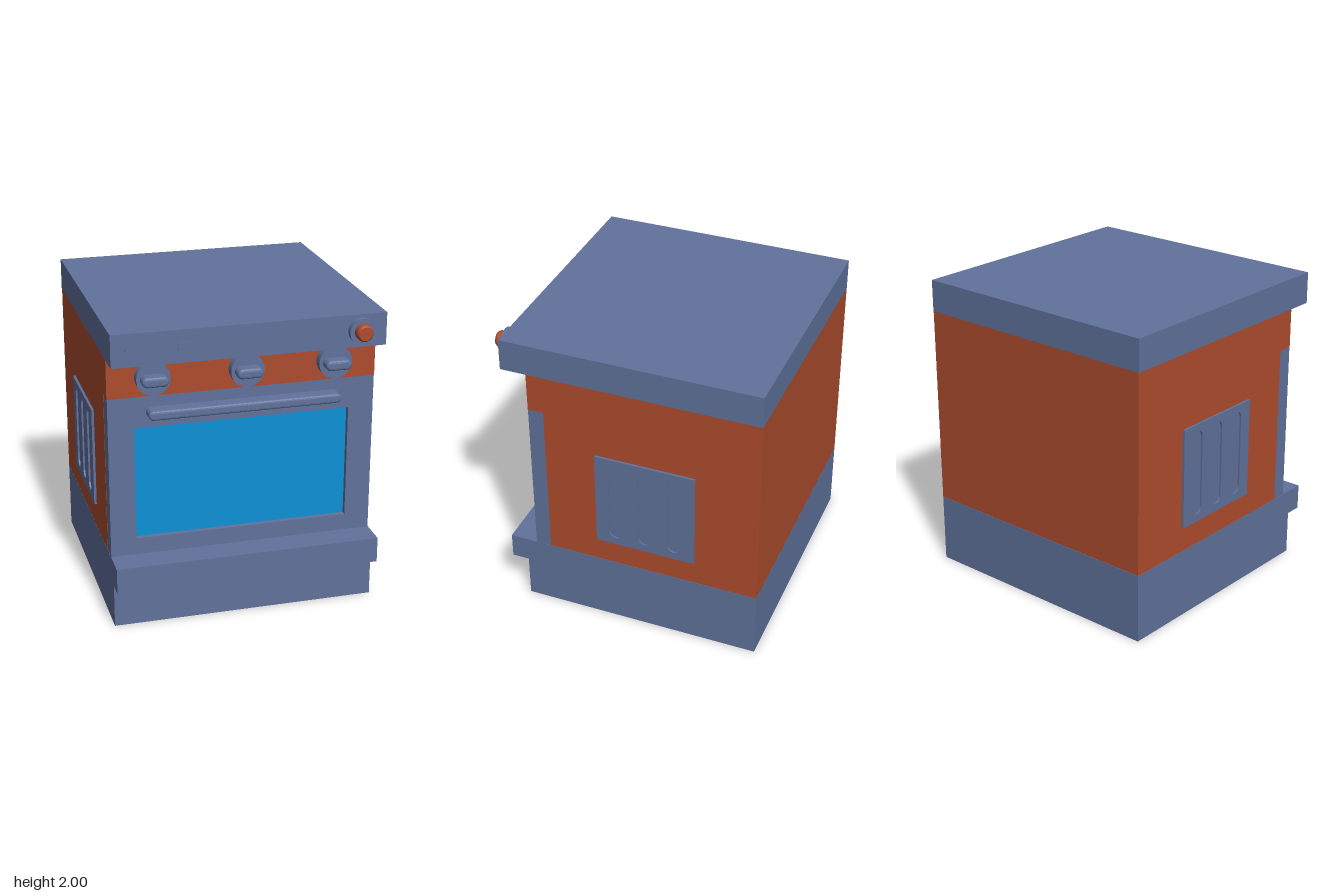
import * as THREE from 'three';

const steel = new THREE.MeshStandardMaterial({ color: 0x60729b });
steel.name = 'blueGreySteel';
const steelSheet = steel; // open sheet parts share the same colour
steelSheet.side = THREE.DoubleSide;
const rust = new THREE.MeshStandardMaterial({ color: 0xad4c2d });
rust.name = 'rustOrange';
const glass = new THREE.MeshStandardMaterial({ color: 0x0d90d6 });
glass.name = 'blueGlass';

const W = 0.868, BACK = -0.9;

function add(parent, name, geometry, material, x = 0, y = 0, z = 0) {
  const mesh = new THREE.Mesh(geometry, material);
  mesh.name = name;
  mesh.position.set(x, y, z);
  parent.add(mesh);
  return mesh;
}

// Box given by its minimum and maximum corners
function block(parent, name, material, [x0, y0, z0], [x1, y1, z1]) {
  return add(parent, name, new THREE.BoxGeometry(x1 - x0, y1 - y0, z1 - z0), material,
    (x0 + x1) / 2, (y0 + y1) / 2, (z0 + z1) / 2);
}

// Rounded bar outline: half length a along x, radius r
function stadium(Type, a, r, cx = 0, cy = 0, upright = false) {
  const points = [];
  for (let end = 0; end < 2; end++) {
    for (let i = 0; i <= 10; i++) {
      const t = -Math.PI / 2 + end * Math.PI + (i / 10) * Math.PI;
      const u = Math.cos(t) * r + (end ? r - a : a - r), v = Math.sin(t) * r;
      points.push(upright ? new THREE.Vector2(cx - v, cy + u) : new THREE.Vector2(cx + u, cy + v));
    }
  }
  return new Type(points);
}

function rect(Type, x0, y0, x1, y1) {
  return new Type([[x0, y0], [x1, y0], [x1, y1], [x0, y1]].map(p => new THREE.Vector2(...p)));
}

// Raised bar with bevelled front edge
function bar(a, r, depth, bevel) {
  return new THREE.ExtrudeGeometry(stadium(THREE.Shape, a - bevel, r - bevel), {
    depth: depth - bevel, bevelEnabled: true, bevelSize: bevel, bevelThickness: bevel, bevelSegments: 3,
  });
}

function disc(r, depth, segments = 40) {
  return new THREE.CylinderGeometry(r, r, depth, segments).rotateX(Math.PI / 2);
}

// Hollow plinth, open underneath, with a projecting ledge
function makePlinth() {
  const plinth = new THREE.Group();
  plinth.name = 'plinth';
  const profile = [[BACK, 0], [BACK, 0.46], [0.825, 0.46], [0.825, 0.29], [0.71, 0.29], [0.71, 0]];
  const pos = [];
  for (let i = 0; i < profile.length - 1; i++) {
    const [z0, y0] = profile[i], [z1, y1] = profile[i + 1];
    const a = [-W, y0, z0], b = [W, y0, z0], c = [W, y1, z1], d = [-W, y1, z1];
    pos.push(...a, ...d, ...b, ...b, ...d, ...c);
  }
  const shell = new THREE.BufferGeometry();
  shell.setAttribute('position', new THREE.Float32BufferAttribute(pos, 3));
  shell.computeVertexNormals();
  add(plinth, 'plinthShell', shell, steelSheet);
  const side = new THREE.Shape(profile.map(([z, y]) => new THREE.Vector2(-z, y)));
  for (const s of [-1, 1]) {
    const geometry = new THREE.ShapeGeometry(side).rotateY(Math.PI / 2);
    if (s < 0) {
      geometry.scale(-1, 1, 1);
      const index = geometry.index.array;
      for (let i = 0; i < index.length; i += 3) [index[i], index[i + 1]] = [index[i + 1], index[i]];
      geometry.computeVertexNormals();
    }
    add(plinth, s > 0 ? 'plinthSideLeft' : 'plinthSideRight', geometry, steelSheet, s * W);
  }
  return plinth;
}

// Oven door with recessed window and handle
function makeDoor() {
  const door = new THREE.Group();
  door.name = 'door';
  const frame = rect(THREE.Shape, -0.866, 0.42, 0.866, 1.53);
  frame.holes.push(rect(THREE.Path, -0.7, 0.57, 0.7, 1.325));
  add(door, 'doorFrame', new THREE.ExtrudeGeometry(frame, { depth: 0.105, bevelEnabled: false }), steel, 0, 0, 0.535);
  block(door, 'window', glass, [-0.7, 0.57, 0.54], [0.7, 1.325, 0.605]);
  add(door, 'doorHandle', bar(0.623, 0.031, 0.095, 0.016), steel, 0, 1.428, 0.64);
  return door;
}

// Slotted side vent, built facing +z
function makeVent() {
  const vent = new THREE.Group();
  const plate = rect(THREE.Shape, -0.335, 0.63, 0.335, 1.297);
  for (const x of [-0.2, 0, 0.2]) {
    plate.holes.push(stadium(THREE.Path, 0.285, 0.045, x, 0.965, true));
  }
  add(vent, 'ventPlate', new THREE.ExtrudeGeometry(plate, { depth: 0.013, bevelEnabled: false }), steel, 0, 0, 0.003);
  block(vent, 'ventBacking', steel, [-0.335, 0.63, -0.01], [0.335, 1.297, 0.004]);
  return vent;
}

export function createModel() {
  const oven = new THREE.Group();
  oven.name = 'oven';
  oven.add(makePlinth(), makeDoor());

  // Cabinet and cooktop slab
  block(oven, 'cabinet', rust, [-W, 0.462, BACK], [W, 1.53, 0.535]);
  block(oven, 'controlPanel', rust, [-W, 1.53, BACK], [W, 1.79, 0.64]);
  block(oven, 'cooktop', steel, [-0.87, 1.79, BACK], [0.87, 2, 0.813]);

  // Side vents
  for (const s of [-1, 1]) {
    const vent = makeVent();
    vent.name = s > 0 ? 'ventLeft' : 'ventRight';
    vent.rotation.y = s * Math.PI / 2;
    vent.position.set(s * W, 0, -0.145);
    oven.add(vent);
  }

  // Three control knobs
  for (const x of [-0.585, 0.013, 0.585]) {
    const knob = new THREE.Group();
    knob.name = 'controlKnob';
    knob.position.set(x, 1.66, 0.64);
    add(knob, 'knobDisc', disc(0.108, 0.06), steel, 0, 0, 0.03);
    add(knob, 'knobGrip', bar(0.084, 0.033, 0.073, 0.018), steel, 0, 0, 0.06);
    oven.add(knob);
  }

  // Round button on the cooktop edge
  const button = new THREE.Group();
  button.name = 'powerButton';
  button.position.set(0.703, 1.898, 0.813);
  add(button, 'buttonCollar', disc(0.083, 0.034), steel, 0, 0, 0.017);
  const cap = [[0.053, 0], [0.053, 0.04], [0.053, 0.04], [0.04, 0.088], [0.04, 0.088], [0, 0.088]];
  cap[3][0] = cap[4][0] = 0.043;
  cap[1][1] = cap[2][1] = 0.075;
  add(button, 'buttonCap', new THREE.LatheGeometry(cap.map(p => new THREE.Vector2(...p)), 32).rotateX(Math.PI / 2),
    rust);
  oven.add(button);

  // Oval indicators
  for (const x of [-0.735, -0.412]) {
    add(oven, 'indicator', disc(1, 0.01, 28).scale(0.05, 0.031, 1), steel, x, 1.893, 0.817);
  }
  return oven;
}
